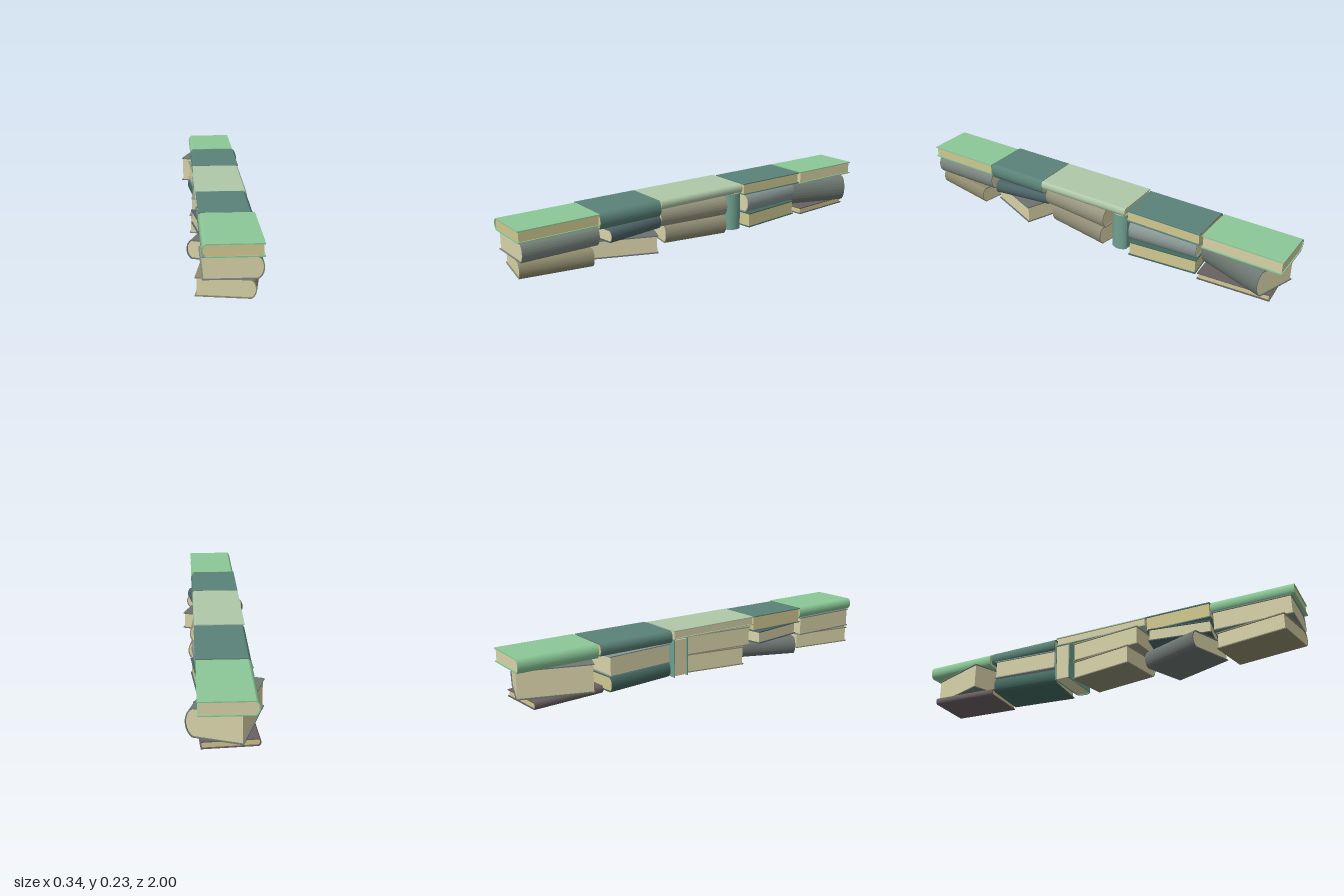
import * as THREE from 'three';

const W = 0.24;      // book width from fore edge to spine
const BOARD = 0.005; // cover thickness

const material = (color) => new THREE.MeshStandardMaterial({ color, side: THREE.DoubleSide });

function extrude(shape, length) {
  const g = new THREE.ExtrudeGeometry(shape, { depth: length, bevelEnabled: false, curveSegments: 10 });
  g.translate(0, 0, -length / 2);
  return g;
}

// One closed book lying flat, base at y = 0, spine towards +x, length along z
function book(name, thick, length, coverColor, pageColor) {
  const group = new THREE.Group();
  group.name = name;
  const bulge = Math.min(0.03, thick * 0.25);
  const x0 = -W / 2, x1 = W / 2 - bulge, t = BOARD;

  // C-shaped cover with a rounded spine
  const cover = new THREE.Shape();
  cover.moveTo(x0, 0);
  cover.lineTo(x1, 0);
  cover.bezierCurveTo(x1 + bulge * 1.33, thick * 0.2, x1 + bulge * 1.33, thick * 0.8, x1, thick);
  cover.lineTo(x0, thick);
  cover.lineTo(x0, thick - t);
  cover.lineTo(x1 - t / 2, thick - t);
  cover.bezierCurveTo(x1 + bulge * 1.33 - t, thick * 0.8, x1 + bulge * 1.33 - t, thick * 0.2, x1 - t / 2, t);
  cover.lineTo(x0, t);
  cover.closePath();
  const coverMesh = new THREE.Mesh(extrude(cover, length), material(coverColor));
  coverMesh.name = 'cover';

  // Page block, inset from the boards
  const block = new THREE.Shape();
  block.moveTo(x0 + 0.006, t);
  block.lineTo(x1 - t / 2, t);
  block.bezierCurveTo(x1 + bulge * 1.33 - t, thick * 0.2, x1 + bulge * 1.33 - t, thick * 0.8, x1 - t / 2, thick - t);
  block.lineTo(x0 + 0.006, thick - t);
  block.closePath();
  const pages = new THREE.Mesh(extrude(block, length - 0.01), material(pageColor));
  pages.name = 'pages';

  group.add(coverMesh, pages);
  return group;
}

const CREAM = 0xd8d2a8, YELLOW = 0xd0c890;
const GREEN = 0x8bc898, TEAL = 0x5a8278, SAGE = 0xb0c8a8;

// name, bottom y, top y, centre z, length, turn, spine side (+1 = +x), cover, pages
const BOOKS = [
  // top row, laid end to end
  ['topBook1', 0.175, 0.23, 0.805, 0.39, 0, -1, GREEN, YELLOW],
  ['topBook2', 0.153, 0.23, 0.445, 0.325, 0, 1, TEAL, YELLOW],
  ['topBook3', 0.187, 0.23, 0.035, 0.49, 0, 1, SAGE, CREAM],
  ['topBook4', 0.172, 0.23, -0.413, 0.385, 0, -1, TEAL, YELLOW],
  ['topBook5', 0.166, 0.23, -0.808, 0.384, 0, -1, GREEN, CREAM],
  // middle row
  ['middleBook1', 0.08, 0.175, 0.8, 0.37, 0, 1, 0x7d8880, CREAM],
  ['middleBook2', 0.088, 0.15, 0.435, 0.3, 0.15, 1, 0x4e6468, CREAM],
  ['middleBook3', 0.092, 0.187, 0.073, 0.37, -0.1, 1, 0x98967f, CREAM],
  ['middleBook4', 0.076, 0.17, -0.405, 0.345, 0.07, 1, 0x8a9896, CREAM],
  ['middleBook5', 0.034, 0.165, -0.79, 0.34, -0.33, 1, 0x6f7973, CREAM],
  // bottom row
  ['bottomBook1', 0, 0.08, 0.805, 0.335, -0.17, 1, 0x8f8b6e, CREAM],
  ['bottomBook2', 0, 0.087, 0.435, 0.31, -0.38, -1, 0x6c7370, CREAM],
  ['bottomBook3', 0, 0.092, 0.055, 0.33, -0.17, 1, 0x8f8b74, CREAM],
  ['bottomBook4', 0, 0.074, -0.405, 0.345, 0.1, -1, 0x44695f, YELLOW],
  ['bottomBook5', 0, 0.034, -0.775, 0.345, 0.07, -1, 0x6a6062, YELLOW],
];

export function createModel() {
  const model = new THREE.Group();
  model.name = 'bookWall';

  for (const [name, y0, y1, z, length, turn, side, cover, pages] of BOOKS) {
    const b = book(name, y1 - y0, length, cover, pages);
    b.position.set(0, y0, z);
    b.rotation.y = turn + (side < 0 ? Math.PI : 0);
    model.add(b);
  }

  // Book standing upright as a support, spine towards +x
  const upright = book('uprightBook', 0.08, 0.187, 0x6fa090, CREAM);
  upright.rotation.x = Math.PI / 2;
  upright.position.set(0, 0.0935, -0.213);
  model.add(upright);

  return model;
}
